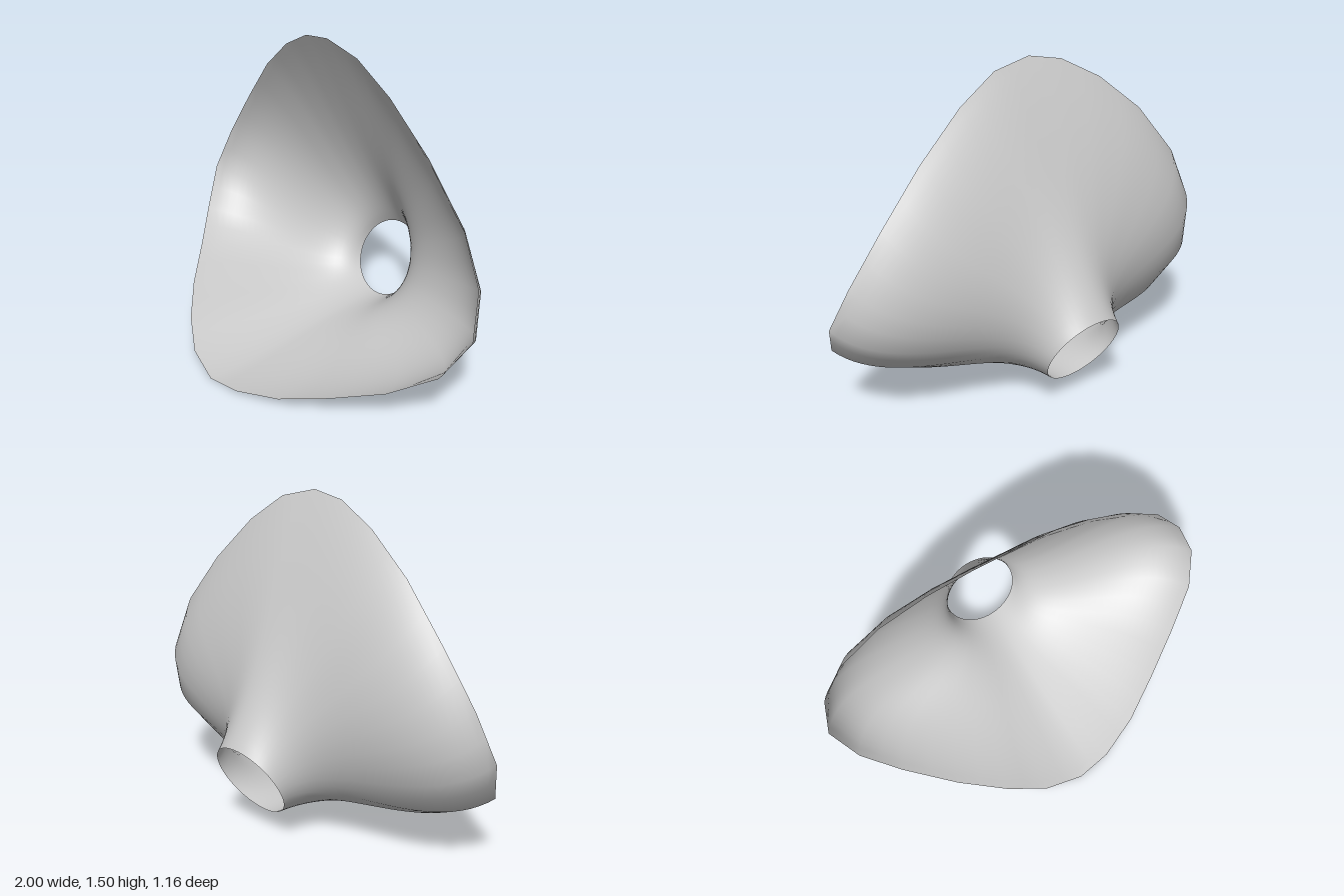
import * as THREE from 'three';

// Outer rim corners, from the top round by +x, the bottom and -x
const RIM = [
  [0, 1.5, -0.09], [0.19, 1.46, -0.1], [0.38, 1.34, -0.12], [0.6, 1.14, -0.145],
  [0.8, 0.91, -0.16], [0.94, 0.69, -0.13], [1, 0.5, -0.055], [0.94, 0.34, 0.06],
  [0.77, 0.215, 0.19], [0.57, 0.13, 0.33], [0.37, 0.06, 0.46], [0.17, 0.02, 0.55],
  [0, 0, 0.58], [-0.19, 0.03, 0.55], [-0.37, 0.085, 0.46], [-0.57, 0.135, 0.32],
  [-0.78, 0.2, 0.14], [-0.93, 0.31, 0], [-1, 0.51, -0.11], [-0.94, 0.73, -0.18],
  [-0.8, 0.96, -0.205], [-0.59, 1.2, -0.18], [-0.37, 1.37, -0.14], [-0.17, 1.47, -0.105],
].map((p) => new THREE.Vector3(...p));

const COLUMNS = RIM.length * 2;
const ROWS = 28;

// Smooth value round the funnel from its top, side and bottom values
function around(angle, top, side, bottom) {
  const mean = (top + bottom) / 2;
  return (mean + side) / 2 + ((top - bottom) / 2) * Math.cos(angle)
    + ((mean - side) / 2) * Math.cos(2 * angle);
}

// Point on the straight-sided rim
function rimPoint(u) {
  const f = u * RIM.length;
  const i = Math.floor(f);
  return RIM[i % RIM.length].clone().lerp(RIM[(i + 1) % RIM.length], f - i);
}

// S-shaped section: leaves the neck along its axis, then flares to the rim
function section(u) {
  const a = u * Math.PI * 2;
  const s = Math.sin(a);
  const c = Math.cos(a);
  const neck = new THREE.Vector3(0.008 + 0.19 * s, 0.267 + 0.169 * c, -0.495 - 0.09 * c);
  const rim = rimPoint(u);
  const neckHandle = new THREE.Vector3(
    0.02 * s, around(a, 0.335, 0.09, 0), around(a, 0.2, 0.28, 0.325)).add(neck);
  const rimHandle = new THREE.Vector3(
    -0.13 * s, around(a, -0.35, -0.16, 0), around(a, -0.175, -0.31, -0.33)).add(rim);
  return new THREE.CubicBezierCurve3(neck, neckHandle, rimHandle, rim);
}

export function createModel() {
  const group = new THREE.Group();
  group.name = 'flaredFunnel';

  // Loft of sections, closed round the neck
  const positions = [];
  const index = [];
  for (let j = 0; j < COLUMNS; j++) {
    const curve = section(j / COLUMNS);
    for (let i = 0; i <= ROWS; i++) positions.push(...curve.getPoint(i / ROWS).toArray());
  }
  const id = (j, i) => (j % COLUMNS) * (ROWS + 1) + i;
  for (let j = 0; j < COLUMNS; j++) {
    for (let i = 0; i < ROWS; i++) {
      const a = id(j, i), b = id(j, i + 1), c = id(j + 1, i + 1), d = id(j + 1, i);
      index.push(a, d, c, a, c, b);
    }
  }
  const geometry = new THREE.BufferGeometry();
  geometry.setAttribute('position', new THREE.Float32BufferAttribute(positions, 3));
  geometry.setIndex(index);
  geometry.computeVertexNormals();

  const shell = new THREE.Mesh(geometry,
    new THREE.MeshStandardMaterial({ color: 0xcccccc, side: THREE.DoubleSide }));
  shell.name = 'funnelShell';
  group.add(shell);
  return group;
}
